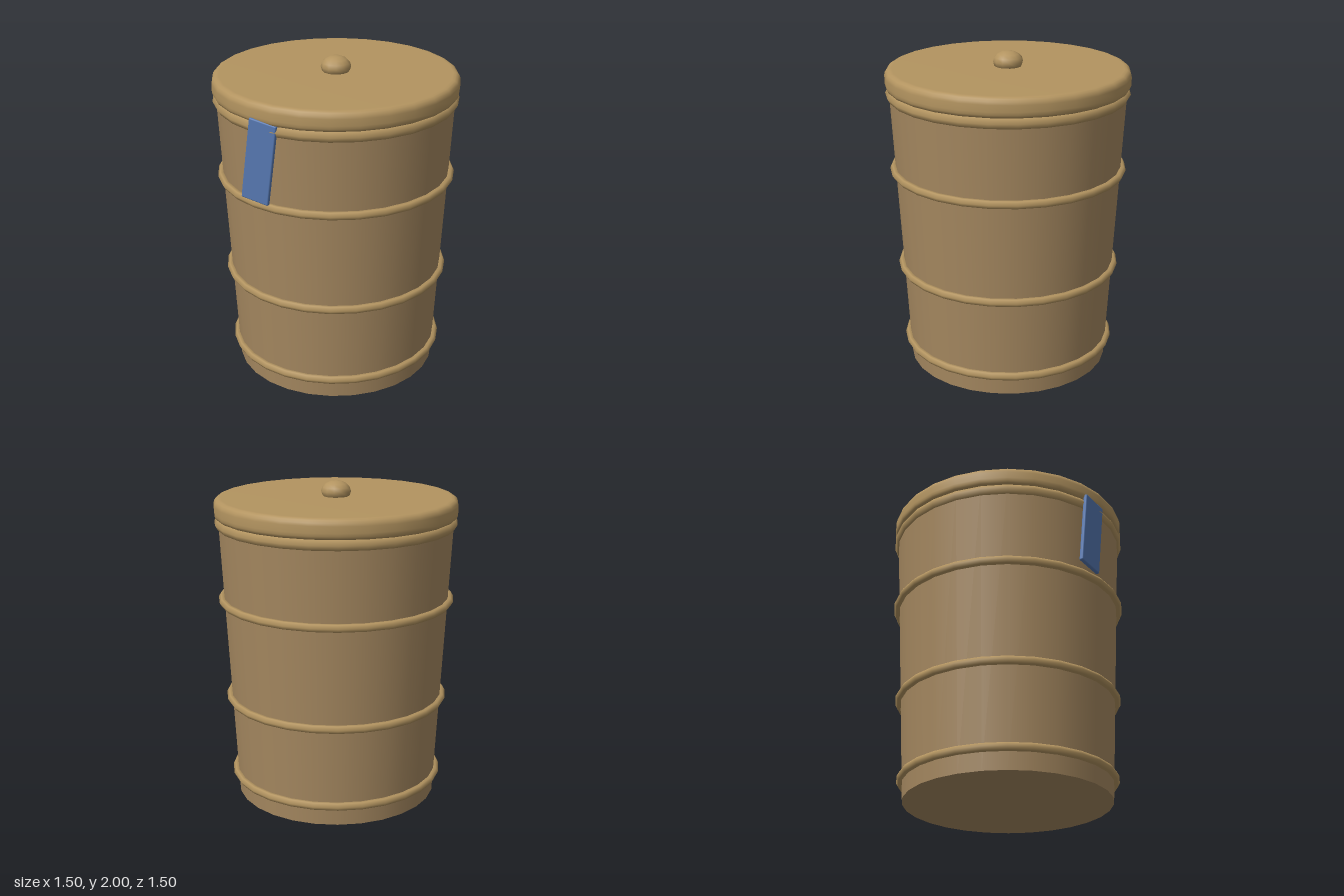
import * as THREE from 'three';
import { RoundedBoxGeometry } from 'three/addons/geometries/RoundedBoxGeometry.js';

const SIDES = 28;
const wood = new THREE.MeshStandardMaterial({ color: 0xa58860 });
const trim = new THREE.MeshStandardMaterial({ color: 0xb39460 });
const blue = new THREE.MeshStandardMaterial({ color: 0x5577b0 });

export function createModel() {
  const group = new THREE.Group();
  const add = (name, geometry, material, x = 0, y = 0, z = 0) => {
    const mesh = new THREE.Mesh(geometry, material);
    mesh.name = name;
    mesh.position.set(x, y, z);
    group.add(mesh);
    return mesh;
  };

  // Tapered body, closed at the bottom and running up into the lid
  add('body', new THREE.CylinderGeometry(0.729, 0.635, 1.8, SIDES), wood, 0, 0.9, 0);

  // Hoops around the body: height, outer radius, tube radius
  const hoops = [[0.13, 0.675, 0.026], [0.64, 0.702, 0.026], [1.272, 0.736, 0.026], [1.755, 0.749, 0.036]];
  for (const [y, outer, tube] of hoops) {
    const ring = new THREE.TorusGeometry(outer - tube, tube, 6, SIDES).rotateX(Math.PI / 2);
    add('hoop', ring, trim, 0, y, 0);
  }

  // Lid with rounded rim
  const profile = [
    [0, 1.785], [0.7, 1.785], [0.73, 1.786], [0.742, 1.793], [0.749, 1.808], [0.75, 1.825],
    [0.75, 1.865], [0.746, 1.882], [0.737, 1.896], [0.723, 1.904], [0.705, 1.906], [0, 1.906],
  ].map(([r, y]) => new THREE.Vector2(r, y));
  add('lid', new THREE.LatheGeometry(profile, SIDES), trim);

  // Flattened knob, sunk slightly into the lid
  const knob = new THREE.SphereGeometry(0.092, 12, 8).scale(1, 0.7, 1);
  add('knob', knob, trim, 0, 1.936, 0);

  // Slanted tag hanging on the front
  const tag = add('tag', new RoundedBoxGeometry(0.18, 0.5, 0.026, 2, 0.008), blue, -0.095, 1.557, 0.734);
  tag.rotation.z = -0.14;

  return group;
}
